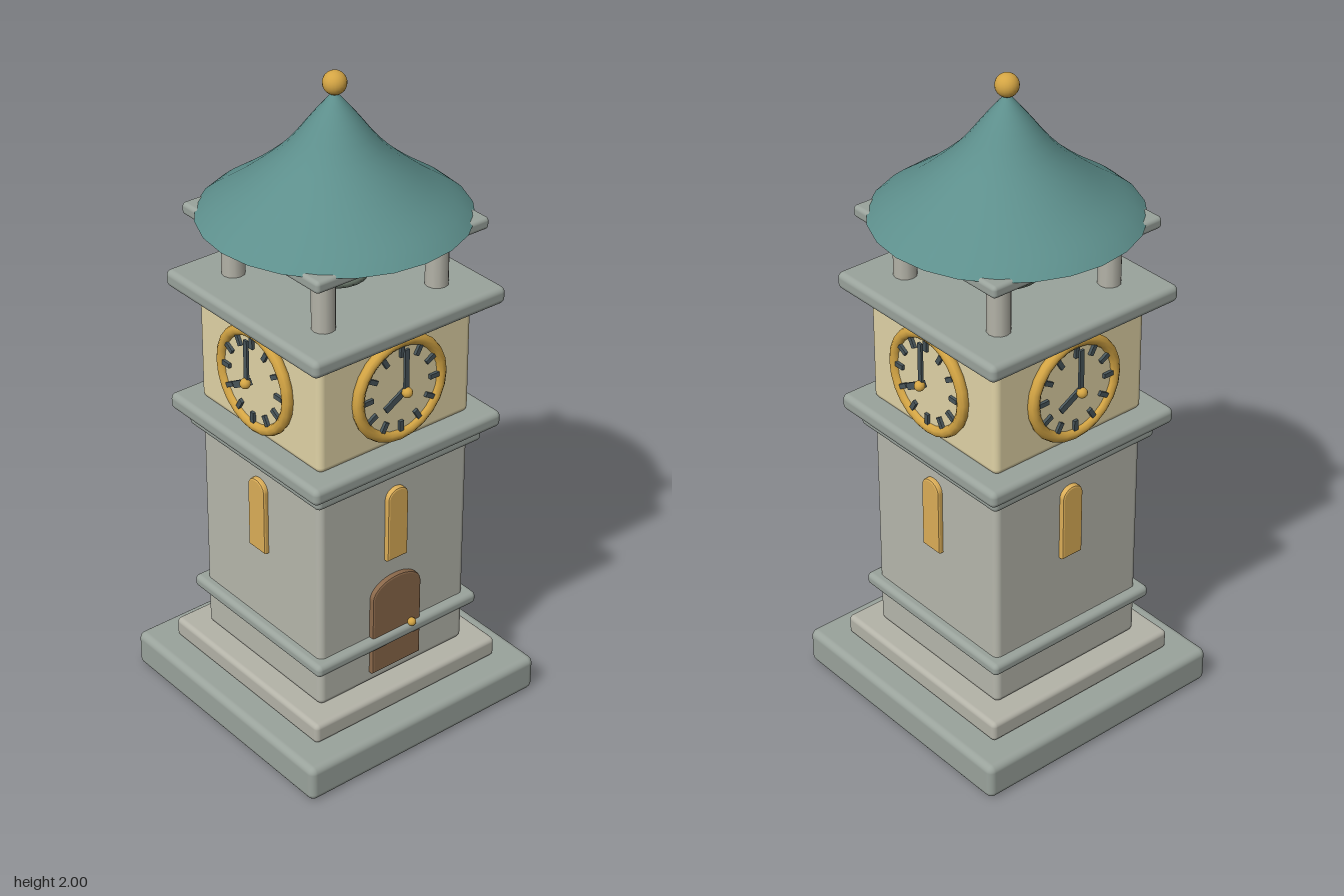
import * as THREE from 'three';
import { RoundedBoxGeometry } from 'three/addons/geometries/RoundedBoxGeometry.js';

const mat = (color, side = THREE.FrontSide) =>
  new THREE.MeshStandardMaterial({ color, side });
const M = {
  trim: mat(0x9aa39c), stone: mat(0xb6b7ac), step: mat(0xb4b3a8), cream: mat(0xe0d3a6),
  gold: mat(0xd4a544), glass: mat(0xdcae58), wood: mat(0x8a684a), dark: mat(0x48555a),
  roof: mat(0x5d8f8c, THREE.DoubleSide), bell: mat(0x6c7a6c, THREE.DoubleSide),
};

function add(parent, name, geometry, material, x = 0, y = 0, z = 0) {
  const mesh = new THREE.Mesh(geometry, material);
  mesh.name = name;
  mesh.position.set(x, y, z);
  parent.add(mesh);
  return mesh;
}

// Square rounded block between two heights
function block(parent, name, half, y0, y1, r, material) {
  const g = new RoundedBoxGeometry(half * 2, y1 - y0, half * 2, 3, r);
  return add(parent, name, g, material, 0, (y0 + y1) / 2, 0);
}

// Upright panel with a low arched top, softly bevelled
function archPanel(parent, name, halfW, y0, ySpring, yTop, z, material) {
  const b = 0.006, w = halfW - b;
  const s = new THREE.Shape();
  s.moveTo(-w, y0 + b);
  s.lineTo(w, y0 + b);
  s.lineTo(w, ySpring);
  s.absellipse(0, ySpring, w, yTop - b - ySpring, 0, Math.PI, false);
  s.closePath();
  const g = new THREE.ExtrudeGeometry(s, {
    depth: 0.03, bevelEnabled: true, bevelSize: b, bevelThickness: b, bevelSegments: 2, curveSegments: 12,
  });
  return add(parent, name, g, material, 0, 0, z - 0.03 - b);
}

function createClock() {
  const clock = new THREE.Group();
  clock.name = 'clock';
  const dial = new THREE.CylinderGeometry(0.15, 0.15, 0.03, 24).rotateX(Math.PI / 2);
  add(clock, 'dial', dial, M.cream, 0, 0, 0.272);
  add(clock, 'clockRim', new THREE.TorusGeometry(0.148, 0.017, 10, 24), M.gold, 0, 0, 0.284);
  // Hour marks
  for (let i = 0; i < 12; i++) {
    const a = (i * Math.PI) / 6;
    const mark = add(clock, 'hourMark', new THREE.BoxGeometry(0.014, 0.032, 0.012), M.dark,
      Math.sin(a) * 0.118, Math.cos(a) * 0.118, 0.29);
    mark.rotation.z = -a;
  }
  // Hands pivot at the centre
  const hand = (name, length, width, angle, z) => {
    const g = new THREE.BoxGeometry(width, length, 0.008).translate(0, length / 2 - 0.01, 0);
    add(clock, name, g, M.dark, 0, 0, z).rotation.z = -angle;
  };
  hand('hourHand', 0.088, 0.02, (4 * Math.PI) / 3, 0.304);
  hand('minuteHand', 0.145, 0.015, 0, 0.311);
  add(clock, 'handHub', new THREE.SphereGeometry(0.016, 12, 8), M.gold, 0, 0, 0.316);
  clock.position.y = 1.155;
  return clock;
}

export function createModel() {
  const tower = new THREE.Group();
  tower.name = 'clockTower';

  // Stacked masonry, bottom to top
  block(tower, 'base', 0.428, 0, 0.115, 0.022, M.trim);
  block(tower, 'step', 0.342, 0.113, 0.178, 0.015, M.step);
  block(tower, 'shaft', 0.272, 0.174, 0.93, 0.02, M.stone);
  block(tower, 'lowerBand', 0.3, 0.302, 0.342, 0.016, M.trim);
  block(tower, 'upperBand', 0.3, 0.874, 0.914, 0.016, M.trim);
  block(tower, 'lowerCornice', 0.338, 0.924, 0.976, 0.018, M.trim);
  block(tower, 'clockStage', 0.272, 0.97, 1.33, 0.02, M.cream);
  block(tower, 'upperCornice', 0.338, 1.325, 1.378, 0.018, M.trim);
  block(tower, 'belfryPlate', 0.3, 1.553, 1.59, 0.012, M.trim);

  // A clock and a window on every side
  for (let i = 0; i < 4; i++) {
    const side = new THREE.Group();
    side.name = 'towerSide';
    side.add(createClock());
    archPanel(side, 'window', 0.037, 0.59, 0.795, 0.828, 0.288, M.glass);
    side.rotation.y = (i * Math.PI) / 2;
    tower.add(side);
  }

  // Front door
  archPanel(tower, 'door', 0.09, 0.215, 0.472, 0.53, 0.288, M.wood);
  add(tower, 'doorKnob', new THREE.SphereGeometry(0.013, 12, 8), M.gold, 0.05, 0.346, 0.296);

  // Belfry columns
  for (const x of [-0.2, 0.2])
    for (const z of [-0.2, 0.2])
      add(tower, 'column', new THREE.CylinderGeometry(0.034, 0.034, 0.19, 12), M.step, x, 1.465, z);

  // Bell
  const lathe = (points, n) => new THREE.LatheGeometry(points.map(([x, y]) => new THREE.Vector2(x, y)), n);
  add(tower, 'bell', lathe([[0, 1.395], [0.095, 1.395], [0.094, 1.408], [0.076, 1.435], [0.062, 1.465],
    [0.048, 1.5], [0.038, 1.535], [0.03, 1.56]], 20), M.bell);

  // Flared conical roof with its underside
  const slope = new THREE.SplineCurve([[0.385, 1.583], [0.345, 1.615], [0.245, 1.684], [0.14, 1.775],
    [0.06, 1.875], [0.001, 1.945]].map(([x, y]) => new THREE.Vector2(x, y)));
  add(tower, 'roof', new THREE.LatheGeometry(slope.getPoints(16), 24), M.roof);
  add(tower, 'roofUnderside', new THREE.CircleGeometry(0.385, 24).rotateX(Math.PI / 2), M.roof, 0, 1.583, 0);
  add(tower, 'finial', new THREE.SphereGeometry(0.034, 20, 14), M.gold, 0, 1.966, 0);

  return tower;
}
